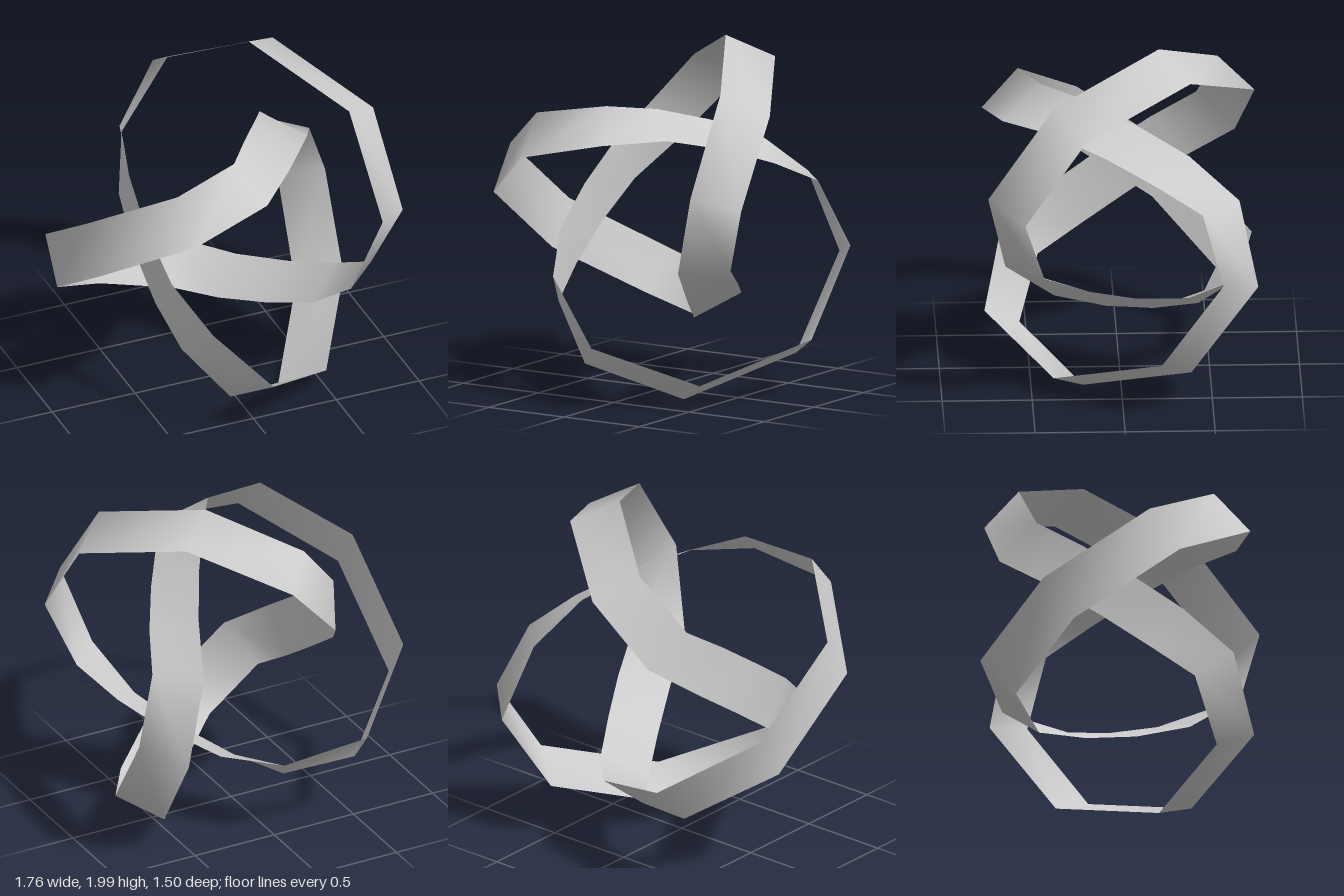
import * as THREE from 'three';

// Half of one lobe: pairs of ribbon edge points [edgeA, edgeB], relative to the knot axis
const HALF_LOBE = [
  [[-0.96, 0.33, 0.21], [-0.96, 0.08, 0.38]],
  [[-0.56, 0.60, 0.55], [-0.53, 0.38, 0.75]],
  [[-0.17, 0.66, 0.44], [-0.06, 0.48, 0.65]],
  [[0.0, 0.62, 0.185], [0.19, 0.49, 0.375]],
  [[0.169, 0.537, -0.084], [0.381, 0.415, 0.084]],
];
const Z_AXIS = new THREE.Vector3(0, 0, 1);
const FLIP_AXIS = new THREE.Vector3(0.5, Math.sqrt(3) / 2, 0);

export function createModel() {
  const group = new THREE.Group();
  group.name = 'ribbonKnot';

  // Second half of the lobe: half turn about the 60 degree axis, edges swapped
  const half = HALF_LOBE.map(pair => pair.map(p => new THREE.Vector3(...p)));
  const flip = v => v.clone().applyAxisAngle(FLIP_AXIS, Math.PI);
  const third = [...half, ...half.slice(0, -1).reverse().map(([a, b]) => [flip(b), flip(a)])];

  // Three turned copies close the trefoil
  const positions = [];
  for (let i = 0; i < 3; i++) {
    for (const pair of third) {
      for (const v of pair) {
        const p = v.clone().applyAxisAngle(Z_AXIS, i * Math.PI * 2 / 3);
        positions.push(p.x + 0.08, p.y + 1, p.z);
      }
    }
  }

  // Strip of quads, wrapping round to the start
  const index = [];
  const count = third.length * 3;
  for (let i = 0; i < count; i++) {
    const a = 2 * i, b = a + 1;
    const c = 2 * ((i + 1) % count), d = c + 1;
    index.push(a, b, c, b, d, c);
  }
  const geometry = new THREE.BufferGeometry();
  geometry.setAttribute('position', new THREE.Float32BufferAttribute(positions, 3));
  geometry.setIndex(index);
  geometry.computeVertexNormals();

  const ribbon = new THREE.Mesh(geometry,
    new THREE.MeshStandardMaterial({ color: 0xcccccc, side: THREE.DoubleSide }));
  ribbon.name = 'ribbon';
  group.add(ribbon);
  return group;
}
